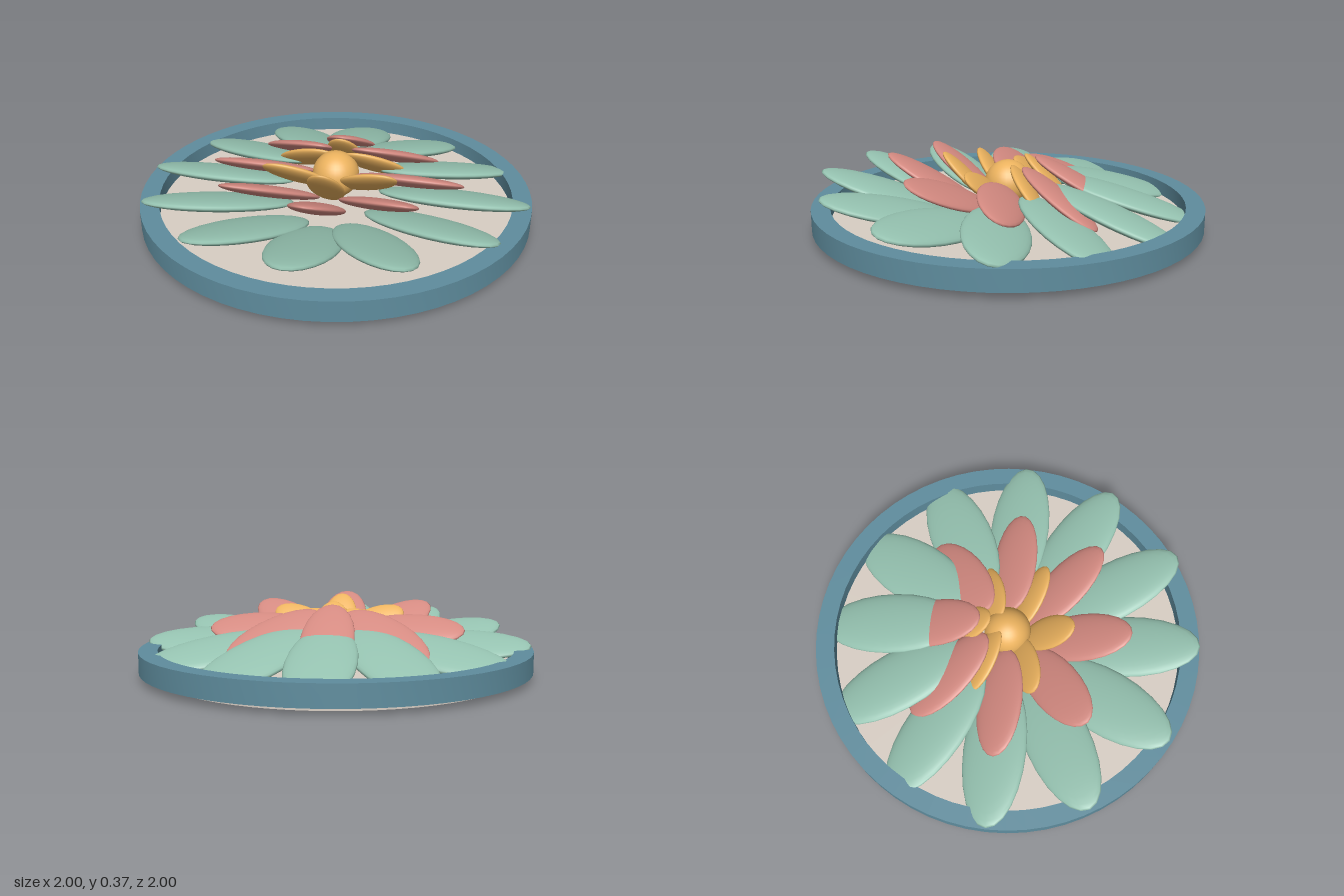
import * as THREE from 'three';
import { toCreasedNormals } from 'three/addons/utils/BufferGeometryUtils.js';

const paint = (color) => new THREE.MeshStandardMaterial({ color });

function addMesh(parent, name, geometry, material) {
  const mesh = new THREE.Mesh(geometry, material);
  mesh.name = name;
  parent.add(mesh);
  return mesh;
}

// A ring of flattened ellipsoid petals, all leaning up towards the front
function petalRing({ name, count, radius, y, length, width, thickness, tilt, color }) {
  const ring = new THREE.Group();
  ring.name = name + 's';
  const geometry = new THREE.SphereGeometry(1, 24, 16).scale(length, thickness, width);
  const material = paint(color);
  for (let i = 0; i < count; i++) {
    const angle = Math.PI / 2 + (i / count) * Math.PI * 2;
    const petal = addMesh(ring, name, geometry, material);
    petal.position.set(radius * Math.cos(angle), y, -radius * Math.sin(angle));
    petal.rotation.set(-tilt, angle, 0);
  }
  return ring;
}

export function createModel() {
  const model = new THREE.Group();
  model.name = 'flowerMedallion';

  // Base disc
  const base = addMesh(model, 'baseDisc', new THREE.CylinderGeometry(0.91, 0.91, 0.06, 64), paint(0xd8cec4));
  base.position.y = 0.03;

  // Square-section outer rim
  const profile = [[0.905, 0.03], [1, 0.03], [1, 0.135], [0.905, 0.135], [0.905, 0.03]]
    .map(([r, y]) => new THREE.Vector2(r, y));
  addMesh(model, 'rim', toCreasedNormals(new THREE.LatheGeometry(profile, 64), 0.6), paint(0x5f8d9e));

  // Three tiers of petals, steeper towards the middle
  model.add(
    petalRing({ name: 'outerPetal', count: 12, radius: 0.61, y: 0.148, length: 0.385, width: 0.166, thickness: 0.037, tilt: 0.3, color: 0x95c2b0 }),
    petalRing({ name: 'middlePetal', count: 8, radius: 0.38, y: 0.22, length: 0.28, width: 0.13, thickness: 0.03, tilt: 0.52, color: 0xd48a81 }),
    petalRing({ name: 'innerPetal', count: 6, radius: 0.21, y: 0.243, length: 0.18, width: 0.092, thickness: 0.026, tilt: 0.8, color: 0xebb25e }),
  );

  // Round flower centre
  const centre = addMesh(model, 'flowerCentre', new THREE.SphereGeometry(0.12, 32, 20), paint(0xebb25e));
  centre.position.y = 0.218;

  return model;
}
